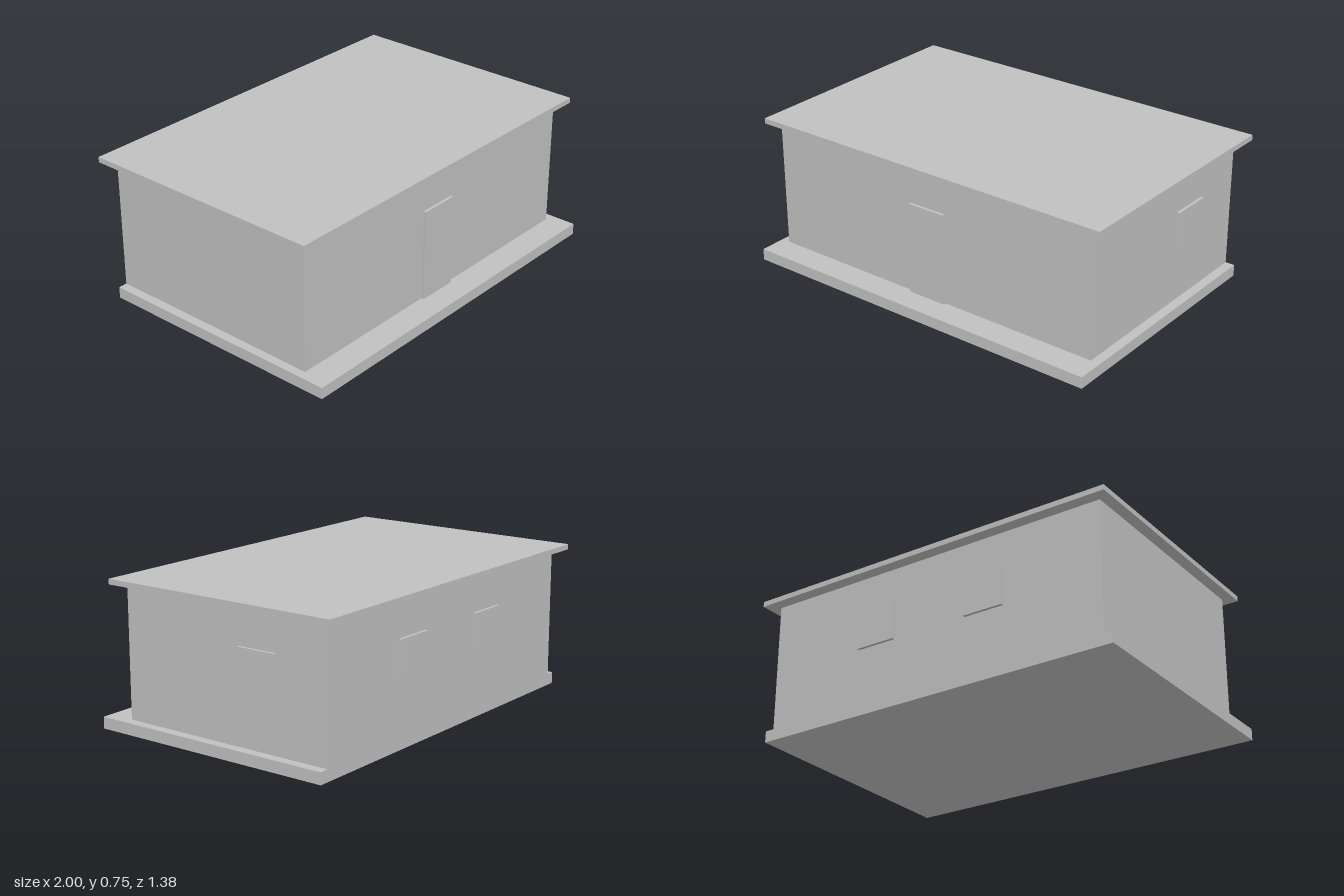
import * as THREE from 'three';

export function createModel() {
  const house = new THREE.Group();
  house.name = 'house';
  const grey = new THREE.MeshStandardMaterial({ color: 0xc0c0c0 });
  grey.name = 'plain grey';

  // Box given by its extents along each axis
  function block(name, [x0, x1], [y0, y1], [z0, z1]) {
    const mesh = new THREE.Mesh(new THREE.BoxGeometry(x1 - x0, y1 - y0, z1 - z0), grey);
    mesh.name = name;
    mesh.position.set((x0 + x1) / 2, (y0 + y1) / 2, (z0 + z1) / 2);
    house.add(mesh);
  }

  const left = 0.936, right = -0.942, front = 0.549, back = -0.626;
  const floor = 0.059, eaves = 0.721;

  // Main masses: plinth with a front step, walls, flat overhanging roof
  block('foundation', [-0.988, 0.985], [0, floor], [back, 0.688]);
  block('walls', [right, left], [floor, eaves], [back, front]);
  block('roof', [-1, 1], [eaves, 0.748], [-0.688, 0.605]);

  // Door and windows stand slightly proud of the walls
  const proud = 0.015, sill = 0.344, head = 0.532;
  block('door', [-0.111, 0.096], [floor, head], [front, front + proud]);
  block('sideWindow', [left, left + proud], [sill, head], [-0.342, -0.129]);
  for (const x of [0.307, -0.313]) {
    block('backWindow', [x - 0.106, x + 0.106], [sill, head], [back - proud, back]);
  }

  return house;
}
